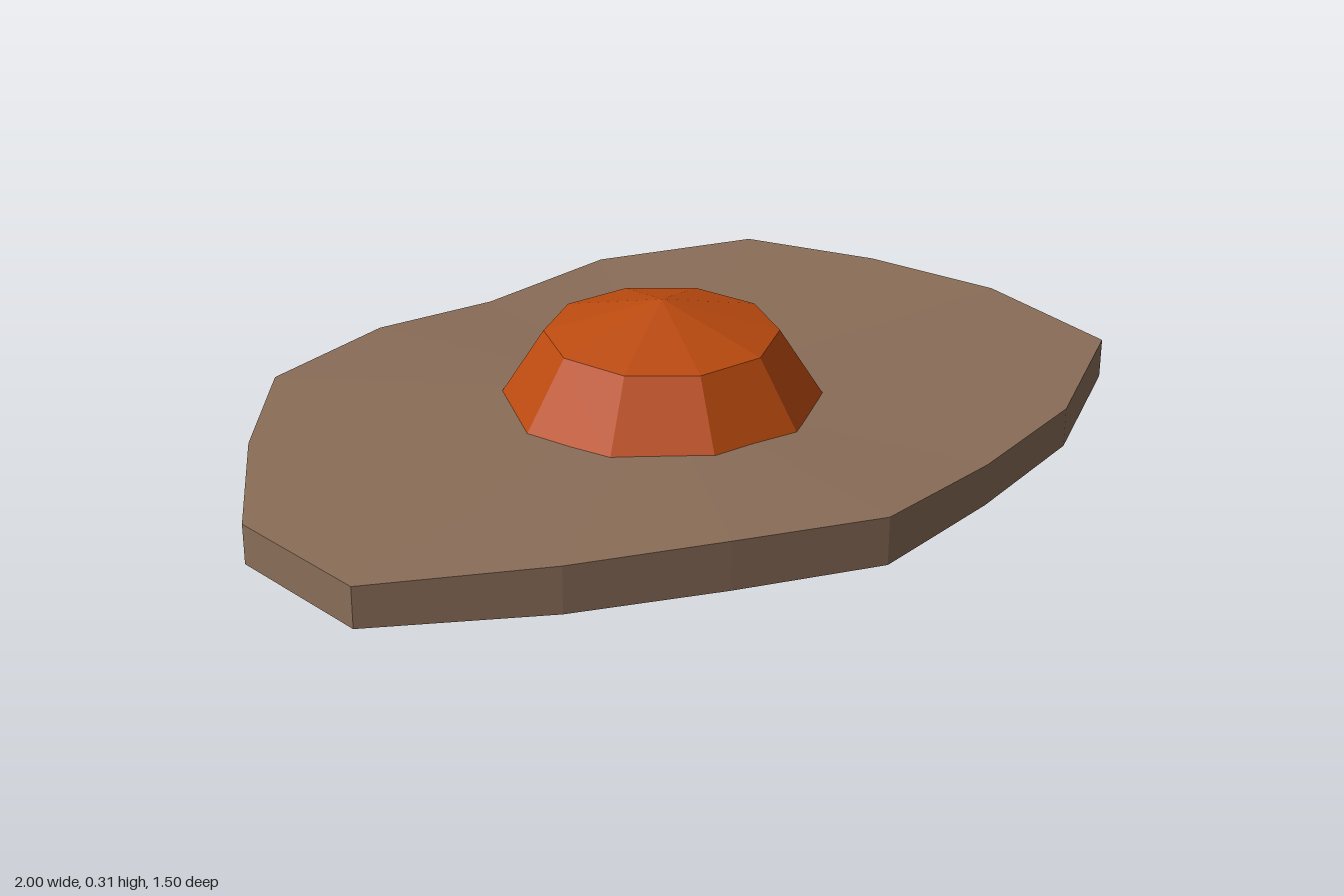
import * as THREE from 'three';

// Irregular rim of the slab: [x, z, top height], from the front round through +x
const RIM = [
  [0.01, 0.745, 0.105], [0.34, 0.67, 0.092], [0.67, 0.565, 0.088], [1, 0.35, 0.09],
  [0.985, 0, 0.107], [0.89, -0.32, 0.104], [0.735, -0.615, 0.1], [0.375, -0.75, 0.085],
  [0, -0.67, 0.09], [-0.31, -0.655, 0.105], [-0.635, -0.55, 0.105], [-0.83, -0.3, 0.097],
  [-1, 0, 0.088], [-0.955, 0.345, 0.09], [-0.61, 0.53, 0.103], [-0.3, 0.645, 0.107],
];

function faceted(geometry) {
  const flat = geometry.toNonIndexed();
  flat.computeVertexNormals();
  return flat;
}

// A 16-sided disc whose rim vertices are pushed out to the irregular outline
function slabGeometry() {
  const n = RIM.length;
  const geo = new THREE.CylinderGeometry(1, 1, 1, n, 1);
  const pos = geo.attributes.position;
  for (let i = 0; i < pos.count; i++) {
    const x = pos.getX(i), z = pos.getZ(i), top = pos.getY(i) > 0;
    if (Math.hypot(x, z) < 0.5) {
      pos.setXYZ(i, 0, top ? 0.1 : 0, 0);
    } else {
      const k = (Math.round(Math.atan2(x, z) / (2 * Math.PI) * n) + n) % n;
      pos.setXYZ(i, RIM[k][0], top ? RIM[k][2] : 0, RIM[k][1]);
    }
  }
  return faceted(geo);
}

// Ten-sided faceted dome with a shallow pointed cap
function domeGeometry() {
  const profile = [[0.355, 0.085], [0.253, 0.243], [0, 0.315]].map(([r, y]) => new THREE.Vector2(r, y));
  const geo = new THREE.LatheGeometry(profile, 10, Math.PI / 2);
  return faceted(geo);
}

export function createModel() {
  const stone = new THREE.MeshStandardMaterial({ color: 0x8a6e58, flatShading: true });
  stone.name = 'brown stone';
  const ember = new THREE.MeshStandardMaterial({ color: 0xbb4a0f, flatShading: true });
  ember.name = 'burnt orange';

  const group = new THREE.Group();
  group.name = 'domedSlab';

  const slab = new THREE.Mesh(slabGeometry(), stone);
  slab.name = 'slab';

  const dome = new THREE.Mesh(domeGeometry(), ember);
  dome.name = 'dome';
  dome.position.x = 0.01;

  group.add(slab, dome);
  return group;
}
